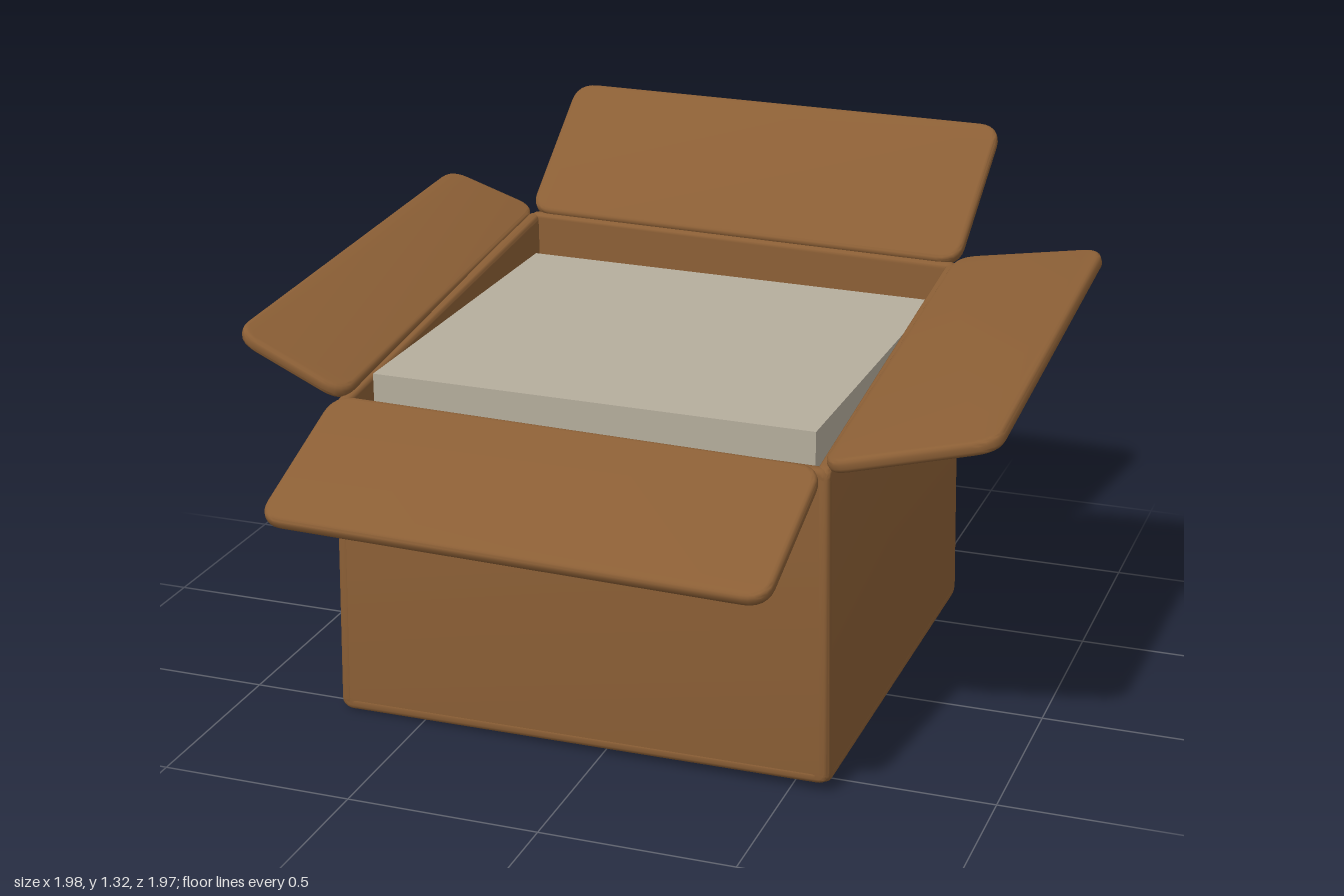
import * as THREE from 'three';
import { mergeVertices, toCreasedNormals } from 'three/addons/utils/BufferGeometryUtils.js';

const V = (x, y, z) => new THREE.Vector3(x, y, z);

// Rounded card sheet stretched between four corners; its outer face lies `lift` above them.
function panel(a, b, c, d, thick, radius, lift = 0) {
  const w = (a.distanceTo(b) + d.distanceTo(c)) / 2;
  const h = (a.distanceTo(d) + b.distanceTo(c)) / 2;
  const bevel = thick * 0.35;
  const x = w / 2 - bevel, y = h / 2 - bevel, r = radius;
  const s = new THREE.Shape();
  s.moveTo(-x + r, -y);
  s.lineTo(x - r, -y);
  s.quadraticCurveTo(x, -y, x, -y + r);
  s.lineTo(x, y - r);
  s.quadraticCurveTo(x, y, x - r, y);
  s.lineTo(-x + r, y);
  s.quadraticCurveTo(-x, y, -x, y - r);
  s.lineTo(-x, -y + r);
  s.quadraticCurveTo(-x, -y, -x + r, -y);
  let g = new THREE.ExtrudeGeometry(s, {
    depth: thick - 2 * bevel, bevelThickness: bevel, bevelSize: bevel, bevelSegments: 3, curveSegments: 6,
  });
  const n = b.clone().sub(a).cross(d.clone().sub(a)).normalize();
  const p = g.attributes.position;
  for (let i = 0; i < p.count; i++) {
    const u = p.getX(i) / w + 0.5, v = p.getY(i) / h + 0.5;
    const t = p.getZ(i) + bevel - thick + lift;
    const q = a.clone().lerp(b, u).lerp(d.clone().lerp(c, u), v).addScaledVector(n, t);
    p.setXYZ(i, q.x, q.y, q.z);
  }
  g.deleteAttribute('normal');
  g.deleteAttribute('uv');
  g = mergeVertices(g);
  return toCreasedNormals(g, 0.6);
}

// Solid block between a bottom and a top ring of four corners.
function block(bottom, top) {
  const g = new THREE.BoxGeometry(1, 1, 1);
  const p = g.attributes.position;
  for (let i = 0; i < p.count; i++) {
    const ring = p.getY(i) > 0 ? top : bottom;
    const k = p.getZ(i) > 0 ? (p.getX(i) < 0 ? 0 : 1) : (p.getX(i) > 0 ? 2 : 3);
    p.setXYZ(i, ring[k].x, ring[k].y, ring[k].z);
  }
  g.computeVertexNormals();
  return g;
}

export function createModel() {
  const model = new THREE.Group();
  const cardboard = new THREE.MeshStandardMaterial({ name: 'cardboard', color: 0x8a5e35 });
  const darkCard = new THREE.MeshStandardMaterial({ name: 'darkCardboard', color: 0x4a3020 });
  const offWhite = new THREE.MeshStandardMaterial({ name: 'offWhite', color: 0xb5ad9c });
  const add = (name, geometry, material) => {
    const m = new THREE.Mesh(geometry, material);
    m.name = name;
    model.add(m);
  };

  // Corner rings: front left, front right, back right, back left (as seen from the front)
  const base = [V(-0.735, 0.004, 0.55), V(0.6, 0.03, 0.59), V(0.615, 0.055, -0.6), V(-0.66, 0.062, -0.66)];
  const rim = [V(-0.715, 0.86, 0.555), V(0.59, 0.86, 0.605), V(0.6, 1.03, -0.575), V(-0.66, 1.04, -0.625)];

  // Walls and floor
  const walls = ['frontWall', 'leftWall', 'backWall', 'rightWall'];
  walls.forEach((name, i) => {
    const j = (i + 1) % 4;
    add(name, panel(base[i], base[j], rim[j], rim[i], 0.035, 0.02), cardboard);
  });
  add('floor', panel(base[3], base[2], base[1], base[0], 0.035, 0.03), cardboard);

  // Open flaps: hinge start, hinge end, outer end, outer start
  const flaps = {
    frontFlap: [V(-0.715, 0.865, 0.545), V(0.58, 0.865, 0.61), V(0.56, 0.67, 0.98), V(-0.75, 0.67, 0.92)],
    leftFlap: [V(0.57, 0.86, 0.605), V(0.59, 1.025, -0.585), V(0.995, 1.1, -0.55), V(0.99, 0.97, 0.595)],
    backFlap: [V(0.6, 1.025, -0.555), V(-0.655, 1.035, -0.605), V(-0.655, 1.315, -0.985), V(0.62, 1.315, -0.92)],
    rightFlap: [V(-0.66, 1.025, -0.65), V(-0.69, 0.865, 0.55), V(-0.99, 1.0, 0.545), V(-0.935, 1.105, -0.675)],
  };
  for (const [name, c] of Object.entries(flaps)) {
    // corners run so that the sheet normal points up and outward
    add(name, panel(c[3], c[2], c[1], c[0], 0.036, 0.05, 0.018), cardboard);
  }

  // Dark lining at the bottom of the gap around the contents
  const ring = (x0, x1, z0, z1, yf, yb) => [
    V(x0, yf, z1 - 0.02), V(x1, yf, z1 + 0.02), V(x1 + 0.02, yb, z0 + 0.02), V(x0 + 0.02, yb, z0 - 0.02),
  ];
  add('lining', block(ring(-0.68, 0.57, -0.58, 0.56, 0.08, 0.1), ring(-0.68, 0.57, -0.58, 0.56, 0.72, 0.82)), darkCard);

  // Packing layer and the pale slab packed inside
  add('packing', block(ring(-0.635, 0.535, -0.56, 0.525, 0.7, 0.78), ring(-0.635, 0.535, -0.56, 0.525, 0.8, 0.92)), offWhite);
  const slabBottom = [V(-0.635, 0.74, 0.49), V(0.53, 0.74, 0.515), V(0.545, 0.76, -0.505), V(-0.62, 0.76, -0.55)];
  const slabTop = [V(-0.635, 0.92, 0.49), V(0.53, 0.92, 0.515), V(0.545, 0.935, -0.505), V(-0.62, 0.935, -0.55)];
  add('slab', block(slabBottom, slabTop), offWhite);

  return model;
}
